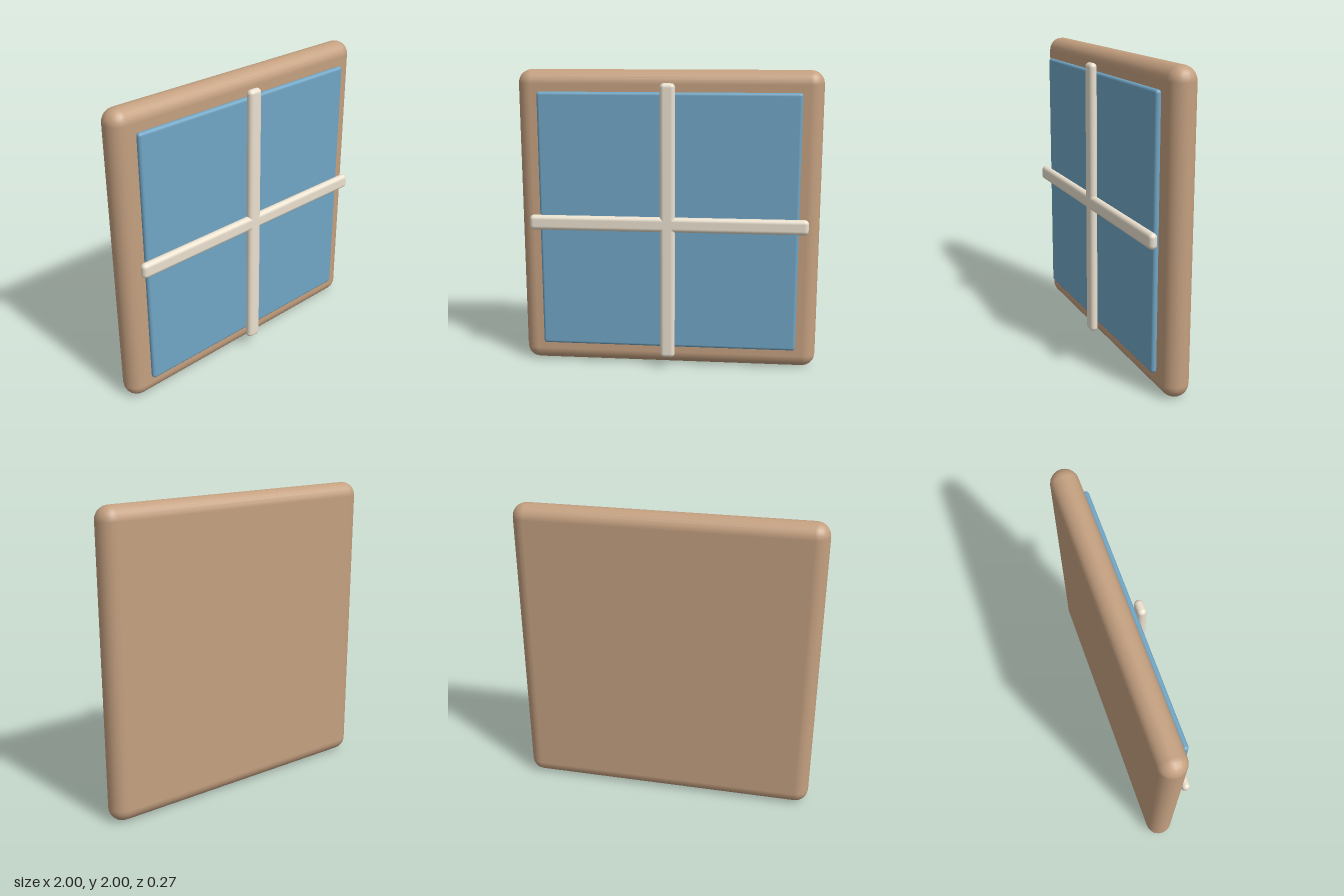
import * as THREE from 'three';
import { RoundedBoxGeometry } from 'three/addons/geometries/RoundedBoxGeometry.js';

export function createModel() {
  const group = new THREE.Group();
  const wood = new THREE.MeshStandardMaterial({ color: 0xc4a080 });
  const blue = new THREE.MeshStandardMaterial({ color: 0x70a5c4 });
  const cream = new THREE.MeshStandardMaterial({ color: 0xeae0ce });

  // Rounded slab centred at half height, spanning zBack to zFront
  function slab(name, width, height, zBack, zFront, radius, material) {
    const geometry = new RoundedBoxGeometry(width, height, zFront - zBack, 3, radius);
    const mesh = new THREE.Mesh(geometry, material);
    mesh.name = name;
    mesh.position.set(0, 1, (zBack + zFront) / 2);
    group.add(mesh);
  }

  // Solid window frame with fully rounded edges
  slab('frame', 2, 2, -0.135, 0.045, 0.09, wood);
  // Glass pane resting on the front of the frame
  slab('glassPane', 1.72, 1.72, 0.042, 0.082, 0.02, blue);
  // Crossing glazing bars
  slab('verticalBar', 0.1, 1.84, 0.08, 0.135, 0.0275, cream);
  slab('horizontalBar', 1.84, 0.1, 0.08, 0.135, 0.0275, cream);

  return group;
}
